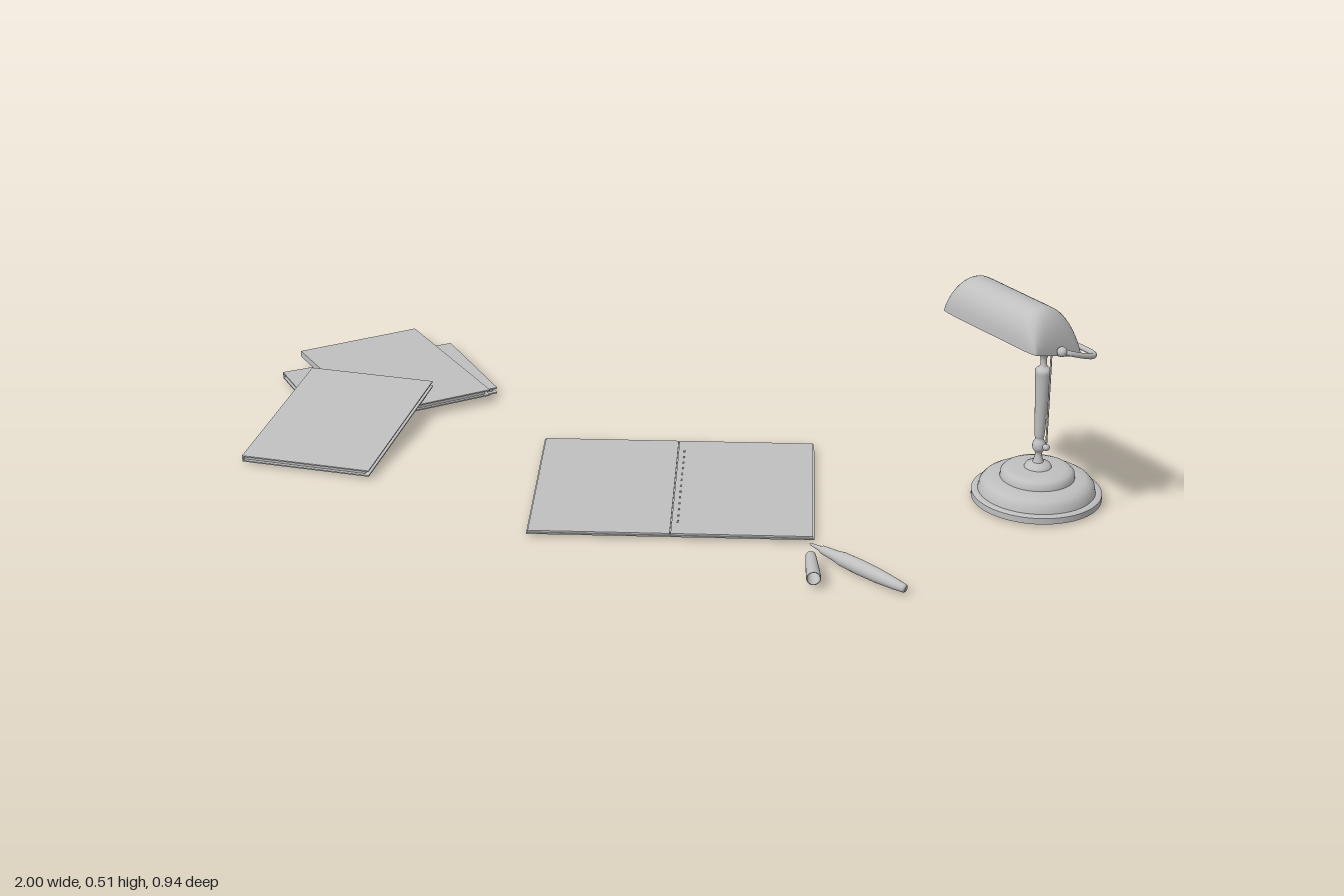
import * as THREE from 'three';

const grey = new THREE.MeshStandardMaterial({ color: 0xbfbfbf, side: THREE.DoubleSide });
grey.name = 'plain grey';

function add(parent, name, geometry, x = 0, y = 0, z = 0) {
  const mesh = new THREE.Mesh(geometry, grey);
  mesh.name = name;
  mesh.position.set(x, y, z);
  parent.add(mesh);
  return mesh;
}

function part(parent, name, x, y, z, turn, tilt = 0) {
  const g = new THREE.Group();
  g.name = name;
  g.position.set(x, y, z);
  g.rotation.set(tilt, turn, 0, 'YXZ');
  parent.add(g);
  return g;
}

// Lathe from [radius, height] pairs; smooth profiles are rounded by a spline
function lathe(points, smooth = false, sides = 48) {
  let pts = points.map(([r, y]) => new THREE.Vector2(r, y));
  if (smooth) pts = new THREE.SplineCurve(pts).getPoints(points.length * 4);
  pts.forEach(p => { p.x = Math.max(0, p.x); });
  return new THREE.LatheGeometry(pts, sides);
}

// Closed book: two covers, spine and a slightly inset page block
function book(parent, name, x, y, z, turn, tilt) {
  const g = part(parent, name, x, y, z, turn, tilt);
  const w = 0.303, d = 0.432, h = 0.015, c = 0.003;
  for (const s of [-1, 1]) add(g, 'cover', new THREE.BoxGeometry(w, c, d), 0, s * (h - c) / 2, 0);
  add(g, 'spine', new THREE.BoxGeometry(c, h - 2 * c, d), -(w - c) / 2, 0, 0);
  add(g, 'pages', new THREE.BoxGeometry(w - 0.012, h - 2 * c, d - 0.014), -0.004, 0, 0);
}

// Barrel shade, open below, whose ends round down to the rim
function shadeGeometry() {
  const rows = 40, cols = 28, half = 0.152, cap = 0.05;
  const pos = [], index = [];
  for (let i = 0; i <= rows; i++) {
    const s = -Math.cos(Math.PI * i / rows) * half;
    const t = Math.max(0, (Math.abs(s) - half + cap) / cap);
    const k = Math.sqrt(Math.max(0, 1 - t * t));
    const w = 0.86 + 0.14 * k;
    for (let j = 0; j <= cols; j++) {
      const a = Math.PI * j / cols;
      const c = Math.cos(a) * w;
      pos.push(s, 0.4145 + 0.0175 * c + 0.097 * Math.pow(Math.sin(a), 0.85) * k, 0.095 + 0.071 * c);
      if (i < rows && j < cols) {
        const p = i * (cols + 1) + j, q = p + cols + 1;
        index.push(p, q, p + 1, q, q + 1, p + 1);
      }
    }
  }
  const g = new THREE.BufferGeometry();
  g.setAttribute('position', new THREE.Float32BufferAttribute(pos, 3));
  g.setIndex(index);
  // Outer faces must point away from the barrel axis
  g.index.array.reverse();
  g.computeVertexNormals();
  const mid = (rows / 2) * (cols + 1) + cols / 2;
  if (g.attributes.normal.getY(mid) < 0) {
    g.index.array.reverse();
    g.computeVertexNormals();
  }
  return g;
}

function lamp(parent) {
  const g = part(parent, 'lamp', 0.857, 0, -0.128, -0.64);

  // Stepped base; doubled points keep the step edges crisp
  add(g, 'lampBase', lathe([
    [0, 0.006], [0.143, 0.006], [0.143, 0.006], [0.143, 0.02], [0.143, 0.02], [0.138, 0.023],
    [0.129, 0.023], [0.129, 0.023], [0.126, 0.037], [0.118, 0.047], [0.106, 0.054], [0.082, 0.055],
    [0.082, 0.055], [0.081, 0.066], [0.074, 0.073], [0.062, 0.077], [0.03, 0.078], [0.03, 0.078],
    [0.027, 0.085], [0.015, 0.09], [0, 0.09],
  ], false, 64));

  // Turned column
  add(g, 'lampColumn', lathe([
    [0.014, 0.085], [0.009, 0.1], [0.008, 0.112], [0.014, 0.122], [0.014, 0.134], [0.009, 0.145],
    [0.011, 0.155], [0.013, 0.2], [0.015, 0.25], [0.017, 0.29], [0.018, 0.304], [0.015, 0.311],
    [0.008, 0.318], [0.007, 0.335], [0.012, 0.346], [0.013, 0.357], [0.011, 0.367], [0.006, 0.373],
    [0.009, 0.386], [0.007, 0.393], [0.007, 0.403],
  ], true, 24));

  add(g, 'lampShade', shadeGeometry());

  // Rear bar whose ends bend forward to the pivots
  const corners = [[-0.163, 0.428, 0.092], [-0.172, 0.424, 0.08], [-0.172, 0.404, 0.02], [-0.155, 0.4, 0.001],
    [-0.08, 0.4, 0], [0, 0.4, 0], [0.08, 0.4, 0], [0.155, 0.4, 0.001], [0.172, 0.404, 0.02],
    [0.172, 0.424, 0.08], [0.163, 0.428, 0.092]];
  const path = new THREE.CatmullRomCurve3(corners.map(c => new THREE.Vector3(...c)));
  add(g, 'shadeBracket', new THREE.TubeGeometry(path, 90, 0.006, 10));
  for (const s of [-1, 1]) {
    add(g, 'pivotKnob', new THREE.SphereGeometry(0.011, 16, 12), s * 0.162, 0.428, 0.095);
    add(g, 'pivotPin', new THREE.CylinderGeometry(0.005, 0.005, 0.03, 10), s * 0.148, 0.428, 0.095).rotation.z = Math.PI / 2;
  }

  // Bulb and socket inside the shade
  add(g, 'bulb', new THREE.CapsuleGeometry(0.017, 0.1, 6, 16), 0.01, 0.44, 0.09).rotation.z = Math.PI / 2;
  add(g, 'socket', new THREE.CylinderGeometry(0.014, 0.014, 0.05, 16), 0.09, 0.44, 0.09).rotation.z = Math.PI / 2;

  // Pull chain
  add(g, 'pullChain', new THREE.CylinderGeometry(0.002, 0.002, 0.23, 8), 0.143, 0.32, 0.107);
  add(g, 'chainBall', new THREE.SphereGeometry(0.008, 14, 10), 0.143, 0.205, 0.107);
}

function openNotebook(parent) {
  const g = part(parent, 'openNotebook', 0.099, 0, 0.111, 0.3);
  add(g, 'notebookCover', new THREE.BoxGeometry(0.616, 0.003, 0.482), 0, 0.0085, 0);
  for (const s of [-1, 1]) add(g, 'page', new THREE.BoxGeometry(0.304, 0.004, 0.476), s * 0.153, 0.012, 0);
  // Stitches along the fold
  for (let i = 0; i < 13; i++) add(g, 'stitch', new THREE.BoxGeometry(0.004, 0.002, 0.008), 0.014, 0.0145, -0.18 + i * 0.03);
}

// Pen lying with its nib towards the notebook, its cap beside it
function pen(parent) {
  const p = part(parent, 'pen', 0.588, 0.018, 0.355, -0.488);
  const body = add(p, 'penBody', lathe([
    [0, -0.139], [0.003, -0.132], [0.006, -0.105], [0.009, -0.1], [0.012, -0.06], [0.0155, -0.04],
    [0.0165, 0.01], [0.0155, 0.06], [0.012, 0.11], [0.009, 0.137], [0, 0.139],
  ], false, 24));
  body.rotation.z = -Math.PI / 2;

  const c = part(parent, 'penCap', 0.506, 0.026, 0.404, -1.214);
  const shell = add(c, 'capShell', lathe([
    [0, -0.054], [0.008, -0.054], [0.011, -0.048], [0.0145, 0.02], [0.0155, 0.05], [0.0155, 0.055],
    [0.013, 0.055], [0.01, -0.04], [0, -0.042],
  ], false, 24));
  shell.rotation.z = -Math.PI / 2;
  add(c, 'capClip', new THREE.BoxGeometry(0.075, 0.003, 0.006), -0.008, -0.017, 0);
}

export function createModel() {
  const model = new THREE.Group();
  model.name = 'deskSet';
  lamp(model);
  openNotebook(model);
  pen(model);
  // Loose stack of three books, the top one leaning
  book(model, 'bottomBook', -0.735, 0.0135, -0.195, -0.785, 0);
  book(model, 'middleBook', -0.735, 0.028, -0.222, 0.847, 0);
  book(model, 'topBook', -0.73, 0.034, 0.087, 0.079, 0.09);
  return model;
}
